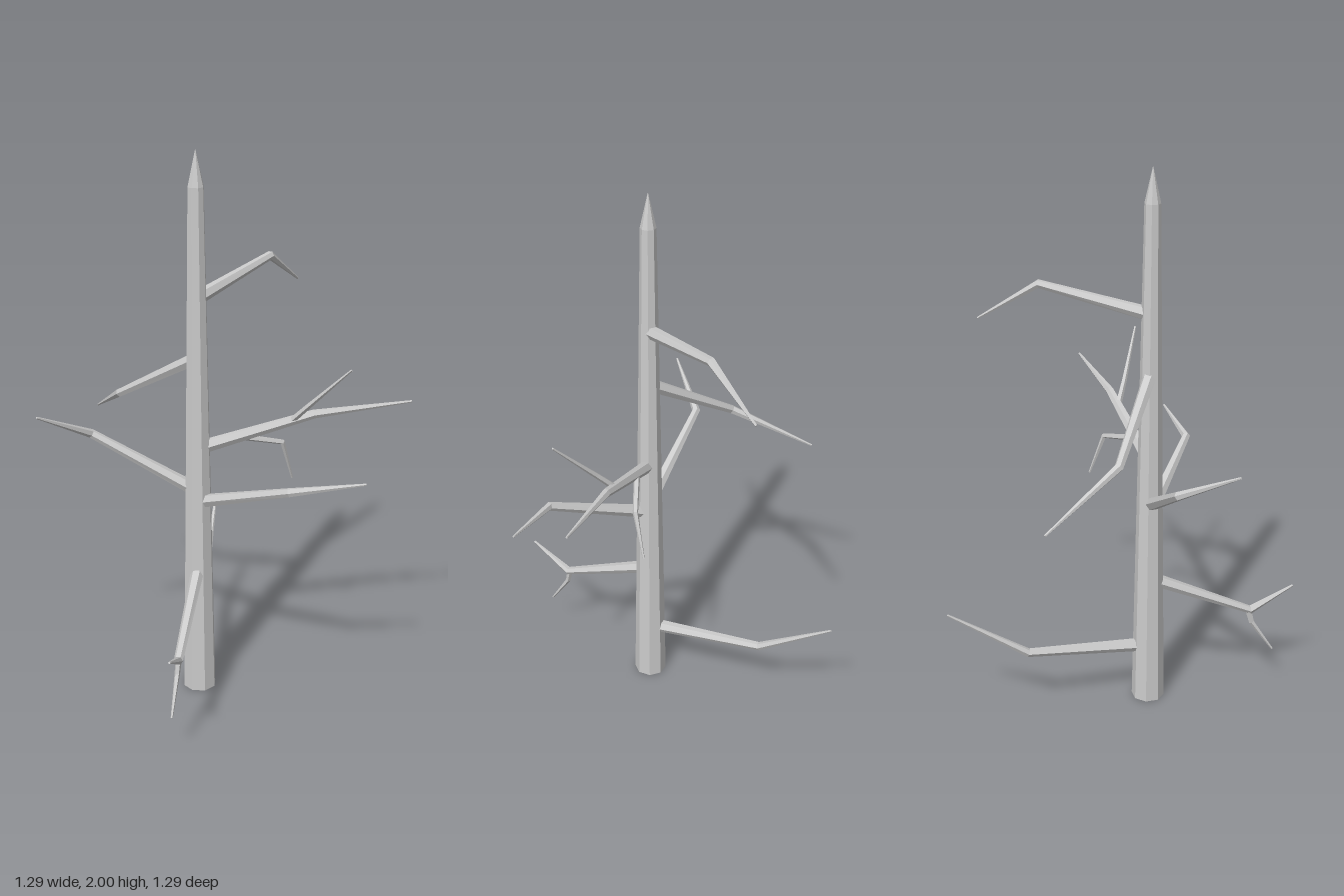
import * as THREE from 'three';

const material = new THREE.MeshStandardMaterial({ color: 0xcccccc, flatShading: true });
const X = -0.106, Z = 0.098; // trunk axis

// Tapered limb: rings of `sides` points along a bent path, mitred at each bend
function limb(name, path, radii, sides) {
  const pts = path.map(p => new THREE.Vector3(...p));
  const dirs = pts.slice(1).map((p, i) => p.clone().sub(pts[i]).normalize());
  const pos = [], index = [];
  const up = Math.abs(dirs[0].y) > 0.9 ? new THREE.Vector3(0, 0, 1) : new THREE.Vector3(0, 1, 0);
  const u = up.addScaledVector(dirs[0], -up.dot(dirs[0])).normalize();
  pts.forEach((p, i) => {
    const before = dirs[Math.max(i - 1, 0)], after = dirs[Math.min(i, dirs.length - 1)];
    const t = before.clone().add(after).normalize();
    u.addScaledVector(t, -u.dot(t)).normalize();
    const v = t.clone().cross(u);
    for (let k = 0; k < sides; k++) {
      const a = ((k + 0.5) / sides) * Math.PI * 2;
      const q = p.clone().addScaledVector(u, Math.cos(a) * radii[i]).addScaledVector(v, Math.sin(a) * radii[i]);
      pos.push(q.x, q.y, q.z);
    }
  });
  for (let i = 0; i < pts.length - 1; i++) {
    for (let k = 0; k < sides; k++) {
      const a = i * sides + k, b = i * sides + (k + 1) % sides;
      index.push(a, b, b + sides, a, b + sides, a + sides);
    }
  }
  // end caps
  const last = (pts.length - 1) * sides;
  for (let k = 1; k < sides - 1; k++) {
    index.push(0, k + 1, k, last, last + k, last + k + 1);
  }
  const geometry = new THREE.BufferGeometry();
  geometry.setAttribute('position', new THREE.Float32BufferAttribute(pos, 3));
  geometry.setIndex(index);
  const flat = geometry.toNonIndexed();
  flat.computeVertexNormals();
  const mesh = new THREE.Mesh(flat, material);
  mesh.name = name;
  return mesh;
}

export function createModel() {
  const group = new THREE.Group();
  group.name = 'bareTree';

  // Trunk with a pointed top
  group.add(limb('trunk', [[X, 0, Z], [X, 1.88, Z], [X, 2, Z]], [0.061, 0.028, 0.001], 8));

  // Main branches: height on the trunk, bend, tip
  const branches = [
    ['lowBackBranch', 0.215, [-0.113, 0.255, -0.36], [-0.092, 0.443, -0.645]],
    ['lowFrontBranch', 0.495, [-0.148, 0.325, 0.485], [-0.162, 0.413, 0.645]],
    ['frontLeftBranch', 0.75, [0.22, 0.9, 0.34], [0.478, 0.933, 0.333]],
    ['rightBranch', 0.79, [-0.485, 0.995, 0.08], [-0.645, 1.11, 0.235]],
    ['leftBranch', 0.955, [0.3, 1.08, 0.065], [0.64, 1.122, 0.03]],
    ['backRightBranch', 1.29, [-0.405, 1.085, -0.1], [-0.53, 0.932, -0.38]],
    ['backLeftBranch', 1.5, [0.132, 1.568, -0.24], [0.23, 1.432, -0.44]],
  ];
  for (const [name, y, bend, tip] of branches) {
    group.add(limb(name, [[X, y, Z], bend, tip], [0.025, 0.016, 0.004], 6));
  }

  // Thin twigs growing from the branches
  const twigs = [
    ['lowFrontTwig', [-0.147, 0.335, 0.475], [-0.152, 0.275, 0.49], [-0.165, 0.152, 0.573]],
    ['leftUpperTwig', [0.22, 1.055, 0.072], [0.28, 1.127, 0.112], [0.42, 1.288, 0.195]],
    ['leftLowerTwig', [0.03, 0.997, 0.082], [0.19, 0.95, 0.01], [0.226, 0.792, -0.038]],
  ];
  for (const [name, ...path] of twigs) {
    group.add(limb(name, path, [0.012, 0.01, 0.004], 5));
  }
  return group;
}
